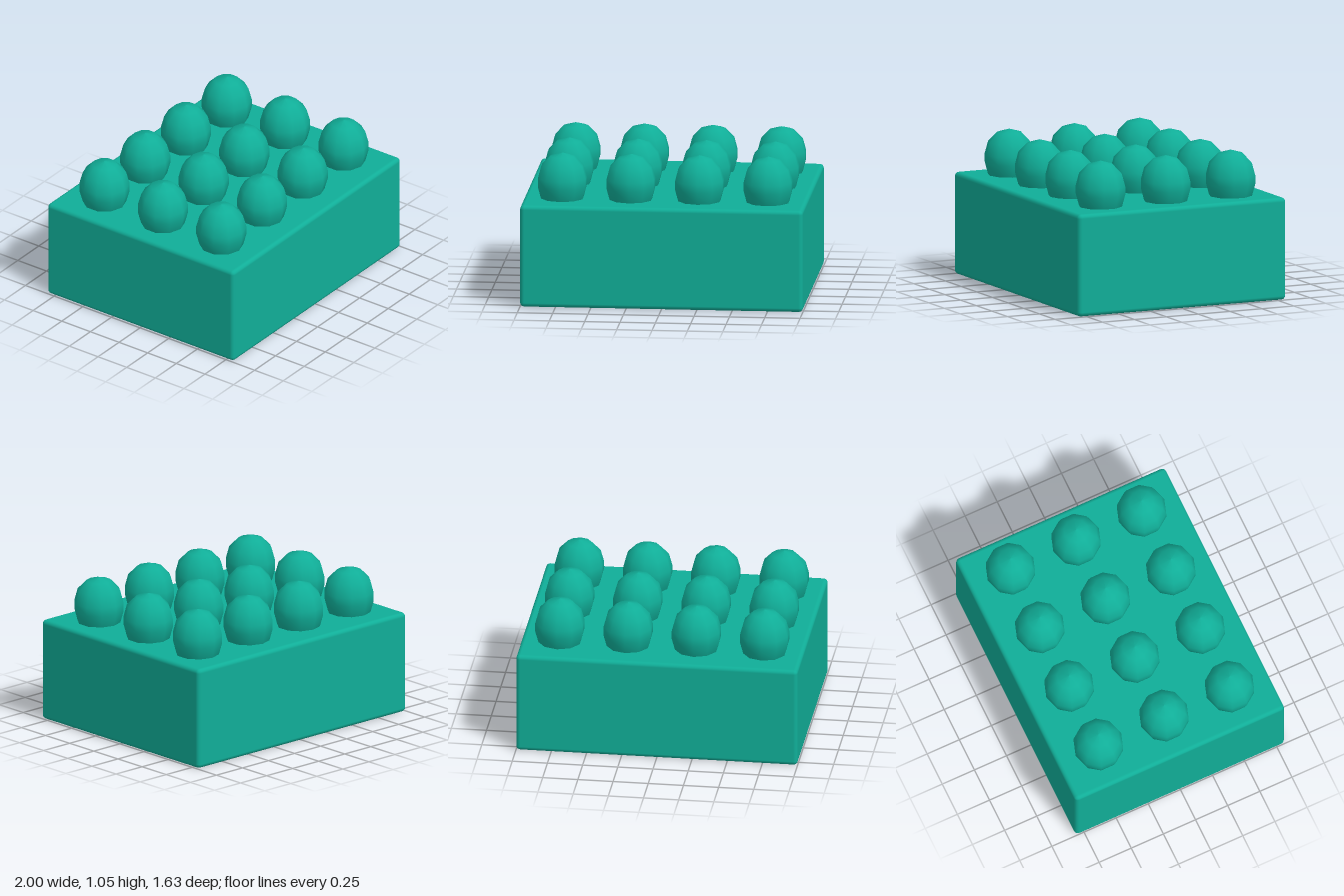
import * as THREE from 'three';
import { RoundedBoxGeometry } from 'three/addons/geometries/RoundedBoxGeometry.js';

export function createModel() {
  const model = new THREE.Group();
  model.name = 'studdedBlock';
  const teal = new THREE.MeshStandardMaterial({ color: 0x10ae98 });
  teal.name = 'teal';

  // Block with narrow rounded edges
  const height = 0.73;
  const block = new THREE.Mesh(new RoundedBoxGeometry(2, height, 1.63, 2, 0.03), teal);
  block.name = 'block';
  block.position.y = height / 2;
  model.add(block);

  // Ten-sided domed peg, tapering in where it meets the block
  const profile = [
    [0.125, 0.69], [0.153, 0.727], [0.177, 0.815], [0.177, 0.875],
    [0.153, 0.963], [0.088, 1.03], [0, 1.055],
  ].map(([r, y]) => new THREE.Vector2(r, y));
  const pegGeometry = new THREE.LatheGeometry(profile, 10);

  // Three rows of four pegs
  const pegs = new THREE.Group();
  pegs.name = 'pegs';
  for (let row = 0; row < 3; row++) {
    for (let column = 0; column < 4; column++) {
      const peg = new THREE.Mesh(pegGeometry, teal);
      peg.name = `peg${row + 1}_${column + 1}`;
      peg.position.set((column - 1.5) * 0.485, 0, (row - 1) * 0.51);
      pegs.add(peg);
    }
  }
  model.add(pegs);
  return model;
}
